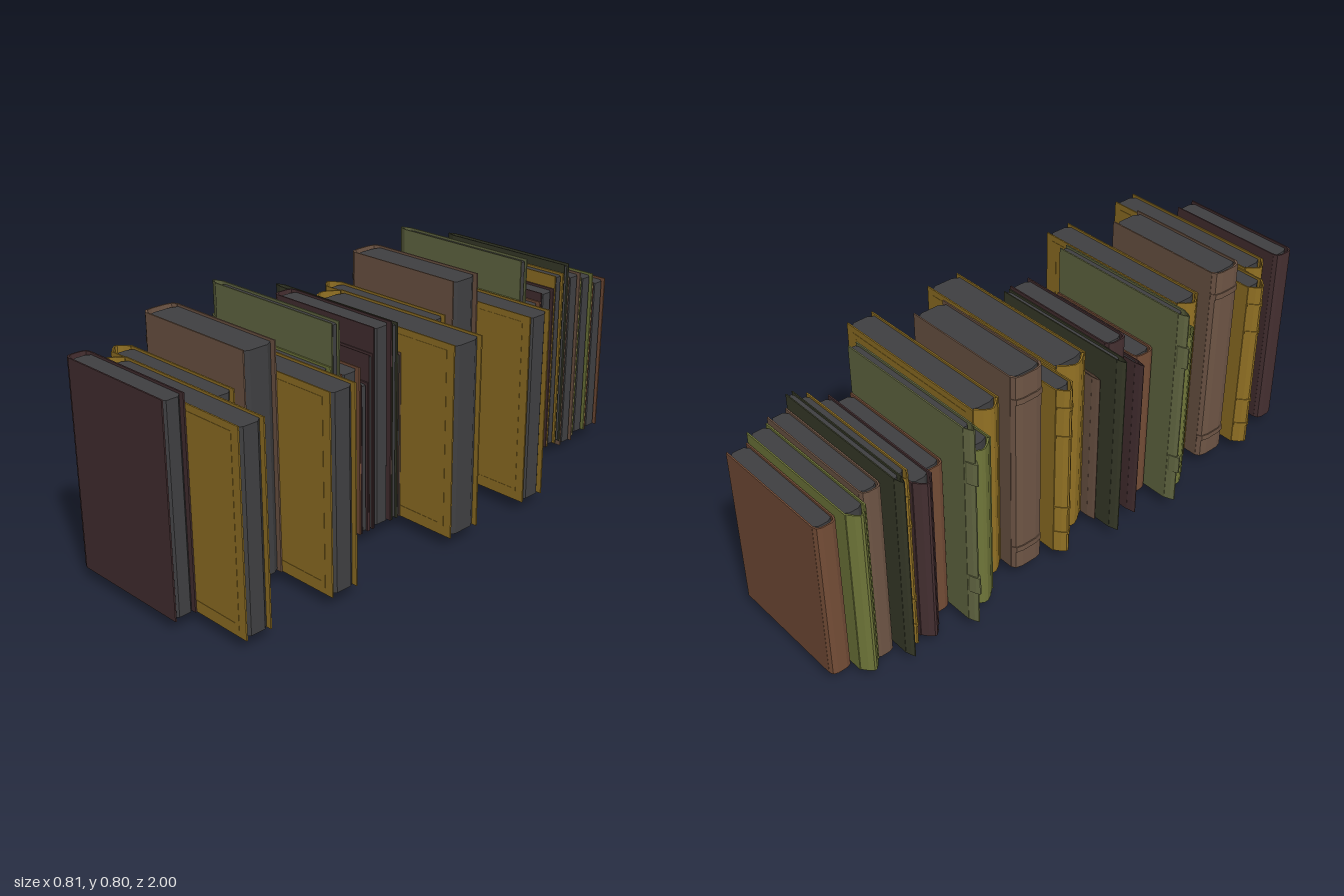
import * as THREE from 'three';

const mat = (name, color) => {
  const m = new THREE.MeshStandardMaterial({ color, side: THREE.DoubleSide });
  m.name = name;
  return m;
};

export function createModel() {
  const row = new THREE.Group();
  row.name = 'bookRow';

  const M = {
    maroon: mat('maroon leather', 0x452f31),
    mustard: mat('mustard cloth', 0x937224),
    brown: mat('brown leather', 0x6e5545),
    sage: mat('sage cloth', 0x656a44),
    olive: mat('bright olive cloth', 0x70773a),
    dark: mat('dark green cloth', 0x393c2a),
    rust: mat('rust leather', 0x744d37),
    pages: mat('charcoal pages', 0x404042),
    ribbon: mat('red ribbon', 0x5e2412),
  };

  // upright prism from an outline of [x, z] points
  const prism = (parent, name, material, pts, y0, y1) => {
    const shape = new THREE.Shape(pts.map(([x, z]) => new THREE.Vector2(x, -z)));
    const geo = new THREE.ExtrudeGeometry(shape, { depth: y1 - y0, bevelEnabled: false });
    geo.rotateX(-Math.PI / 2);
    const mesh = new THREE.Mesh(geo, material);
    mesh.name = name;
    mesh.position.y = y0;
    parent.add(mesh);
  };

  // thin open band following the spine curve, pushed outward by "out"
  const spineBand = (parent, name, material, b, half, y0, y1, out) => {
    const tip = b.round ? [[0.022, 1], [0.006, 0.85], [0, 0.45]] : [[0.032, 0.92], [0.012, 0.5], [0, 0.12]];
    const side = tip.map(([dx, k]) => [b.x0 + dx - out, half * k]);
    const outer = [...side, ...side.map(([x, z]) => [x, -z]).reverse()];
    const w = Math.min(0.005, half * 0.3) + out;
    const inner = outer.map(([x, z]) => [x + w, z * 0.88]).reverse();
    prism(parent, name, material, [...outer, ...inner], y0, y1);
  };

  // raised rectangular frame on a cover
  const frame = (parent, material, x0, x1, y0, y1, z) => {
    const rect = (P, d) => new P()
      .moveTo(x0 + d, y0 + d).lineTo(x1 - d, y0 + d).lineTo(x1 - d, y1 - d).lineTo(x0 + d, y1 - d).closePath();
    const shape = rect(THREE.Shape, 0);
    shape.holes.push(rect(THREE.Path, 0.018));
    const mesh = new THREE.Mesh(new THREE.ExtrudeGeometry(shape, { depth: 0.002, bevelEnabled: false }), material);
    mesh.name = 'coverFrame';
    mesh.position.z = z - 0.001;
    parent.add(mesh);
  };

  const addBook = (b) => {
    const g = new THREE.Group();
    g.name = b.name;
    g.position.z = (b.z0 + b.z1) / 2;
    row.add(g);
    const material = M[b.color], y0 = b.y0 ?? 0.04, x1 = b.x1 ?? 0.18;
    const half = (b.z0 - b.z1) / 2 - 0.001;
    const board = Math.min(0.005, half * 0.3);
    const xs = b.x0 + (b.round ? 0.02 : 0.032);

    // front and back boards
    for (const s of [1, -1]) {
      const z = s * (half - board / 2);
      const cover = new THREE.Mesh(new THREE.BoxGeometry(x1 - xs, b.h - y0, board), material);
      cover.name = s > 0 ? 'frontCover' : 'backCover';
      cover.position.set((x1 + xs) / 2, (b.h + y0) / 2, z);
      g.add(cover);
      if (b.framed) frame(g, material, xs + 0.03, x1 - 0.03, y0 + 0.022, b.h - 0.022, s * half);
    }

    // page block with swelled edges
    const p = half - board, pl = b.x0 + (b.round ? 0.03 : 0.05), pr = x1 - 0.004;
    prism(g, 'pages', M.pages, [
      [pl, p], [pl - 0.01, p * 0.5], [pl - 0.01, -p * 0.5], [pl, -p],
      [pr - 0.014, -p], [pr, -p * 0.6], [pr, p * 0.6], [pr - 0.014, p],
    ], y0 + 0.006, b.h - 0.008);

    // spine and raised bands
    spineBand(g, 'spine', material, b, half, y0, b.h, 0);
    for (const [ya, yb] of b.bands ?? []) spineBand(g, 'spineBand', material, b, half, ya, yb, b.bulge ?? 0.004);

    // bookmark ribbons hanging below the pages
    if (b.ribbons) {
      for (const x of [-0.232, -0.188]) {
        const geo = new THREE.PlaneGeometry(0.024, 0.05, 1, 4);
        const pos = geo.attributes.position;
        for (let i = 0; i < pos.count; i++) {
          const y = pos.getY(i) + 0.025, t = 1 - y / 0.05;
          pos.setXYZ(i, pos.getX(i) + x - 0.02 * t, y, 0.012 - 0.02 * t * t);
        }
        geo.computeVertexNormals();
        const mesh = new THREE.Mesh(geo, M.ribbon);
        mesh.name = 'ribbon';
        g.add(mesh);
      }
    }
  };

  // repeated bindings
  const ribs = [[0.115, 0.125], [0.22, 0.23], [0.51, 0.52], [0.62, 0.63]];
  const kinds = {
    plainTall: { name: 'maroonBook', color: 'maroon', x0: -0.287, h: 0.735, round: true },
    wide: { name: 'wideMustardBook', color: 'mustard', x0: -0.26, x1: 0.402, h: 0.702, framed: true },
    ribbed: { name: 'ribbedMustardBook', color: 'mustard', x0: -0.342, h: 0.695, bands: ribs },
    small: { name: 'smallMustardBook', color: 'mustard', x0: -0.25, h: 0.58 },
    thick: { name: 'thickBrownBook', color: 'brown', x0: -0.298, h: 0.8, round: true, bands: [[0.11, 0.13], [0.7, 0.72]] },
    olive: { name: 'oliveBook', color: 'olive', x0: -0.345, h: 0.655 },
    sage: { name: 'sageBook', color: 'sage', x0: -0.398, h: 0.793, bands: [[0.165, 0.23], [0.595, 0.675]], bulge: 0.01 },
    rust: { name: 'rustBook', color: 'rust', x0: -0.28, h: 0.62, round: true },
    tiny: { name: 'tinyMaroonBook', color: 'maroon', x0: -0.25, h: 0.56 },
    slim: { name: 'slimMaroonBook', color: 'maroon', x0: -0.355, h: 0.65 },
    dark: { name: 'darkGreenBook', color: 'dark', x0: -0.38, h: 0.725 },
    brownSlim: { name: 'slimBrownBook', color: 'brown', x0: -0.29, h: 0.62 },
    low: { name: 'lowBrownBook', color: 'brown', x0: -0.297, y0: 0.02, h: 0.675, round: true },
  };

  // shelf order from front to back: binding and rear z
  const order = [
    ['plainTall', 0.92], ['wide', 0.823], ['ribbed', 0.745], ['small', 0.712], ['thick', 0.588],
    ['wide', 0.482], ['olive', 0.371], ['sage', 0.335], ['rust', 0.25, true], ['tiny', 0.215],
    ['slim', 0.195], ['plainTall', 0.112], ['dark', 0.085], ['brownSlim', 0.07], ['wide', -0.062],
    ['ribbed', -0.135], ['small', -0.166], ['thick', -0.29], ['wide', -0.395], ['olive', -0.507],
    ['sage', -0.544], ['rust', -0.625, true], ['slim', -0.7], ['ribbed', -0.75], ['dark', -0.778],
    ['low', -0.85], ['olive', -0.924], ['rust', -1],
  ];
  let z = 1;
  for (const [kind, z1, ribbons] of order) {
    addBook({ ...kinds[kind], z0: z, z1, ribbons });
    z = z1;
  }
  return row;
}
